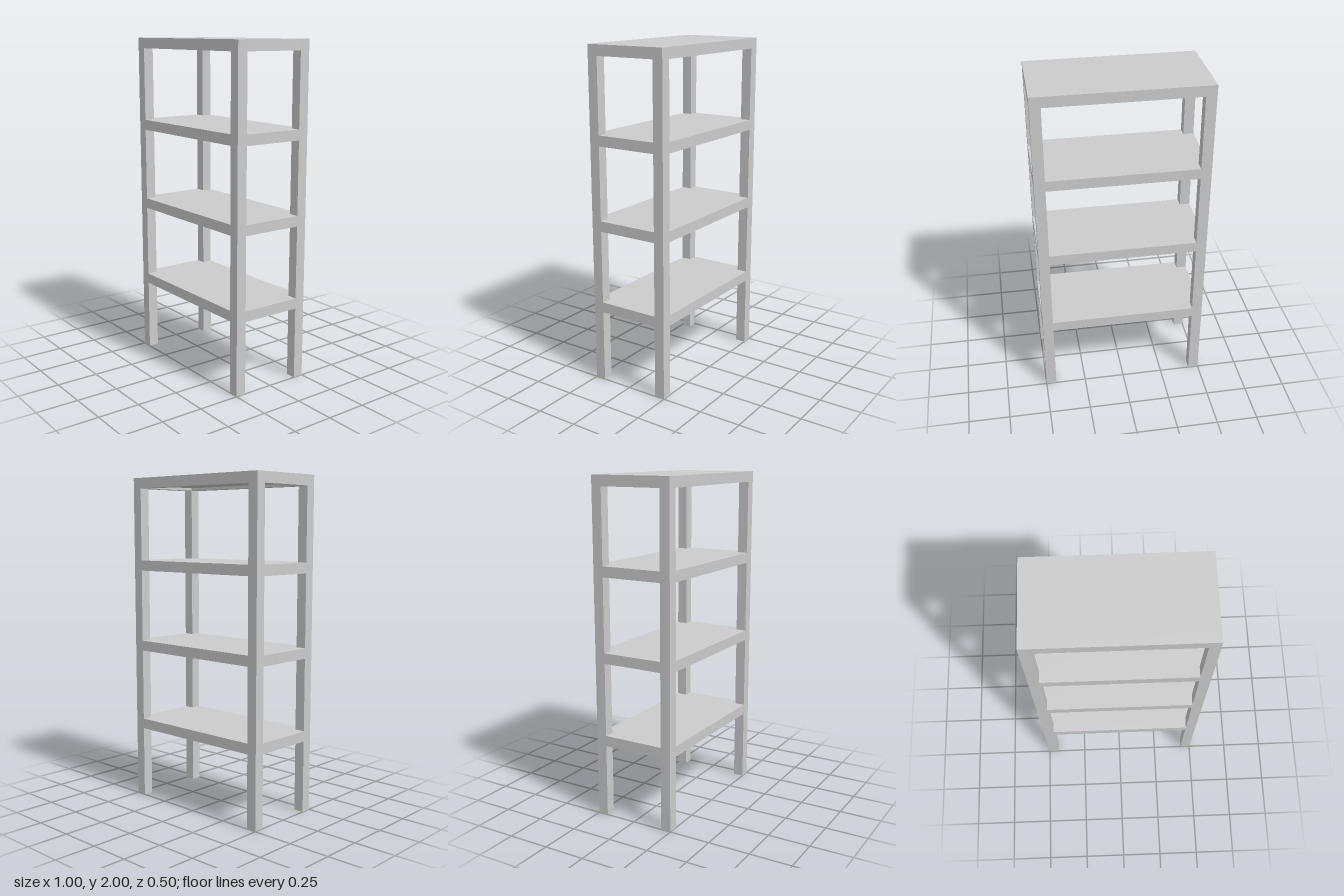
import * as THREE from 'three';

const W = 1, H = 2, D = 0.5; // overall size
const T = 0.0625;            // thickness of posts and rails
const RECESS = 0.016;        // underside gap below each panel

export function createModel() {
  const group = new THREE.Group();
  group.name = 'shelvingUnit';
  const material = new THREE.MeshStandardMaterial({ color: 0xcccccc, flatShading: true });

  const addBox = (parent, name, w, h, d, x, y, z) => {
    const mesh = new THREE.Mesh(new THREE.BoxGeometry(w, h, d), material);
    mesh.name = name;
    mesh.position.set(x, y, z);
    parent.add(mesh);
  };

  const px = W / 2 - T / 2, pz = D / 2 - T / 2;
  const innerW = W - 2 * T, innerD = D - 2 * T;

  // Four full-height corner posts
  for (const [sx, side] of [[1, 'Left'], [-1, 'Right']]) {
    for (const [sz, end] of [[1, 'front'], [-1, 'back']]) {
      addBox(group, `${end}${side}Post`, T, H, T, sx * px, H / 2, sz * pz);
    }
  }

  // Four shelves: a rail frame around a panel that is flush on top and recessed below
  for (let i = 1; i <= 4; i++) {
    const shelf = new THREE.Group();
    shelf.name = `shelf${i}`;
    shelf.position.y = i * H / 4;
    for (const s of [1, -1]) {
      addBox(shelf, s > 0 ? 'frontRail' : 'backRail', innerW, T, T, 0, -T / 2, s * pz);
      addBox(shelf, s > 0 ? 'leftRail' : 'rightRail', T, T, innerD, s * px, -T / 2, 0);
    }
    const thickness = T - RECESS;
    addBox(shelf, 'panel', innerW, thickness, innerD, 0, -thickness / 2, 0);
    group.add(shelf);
  }
  return group;
}
